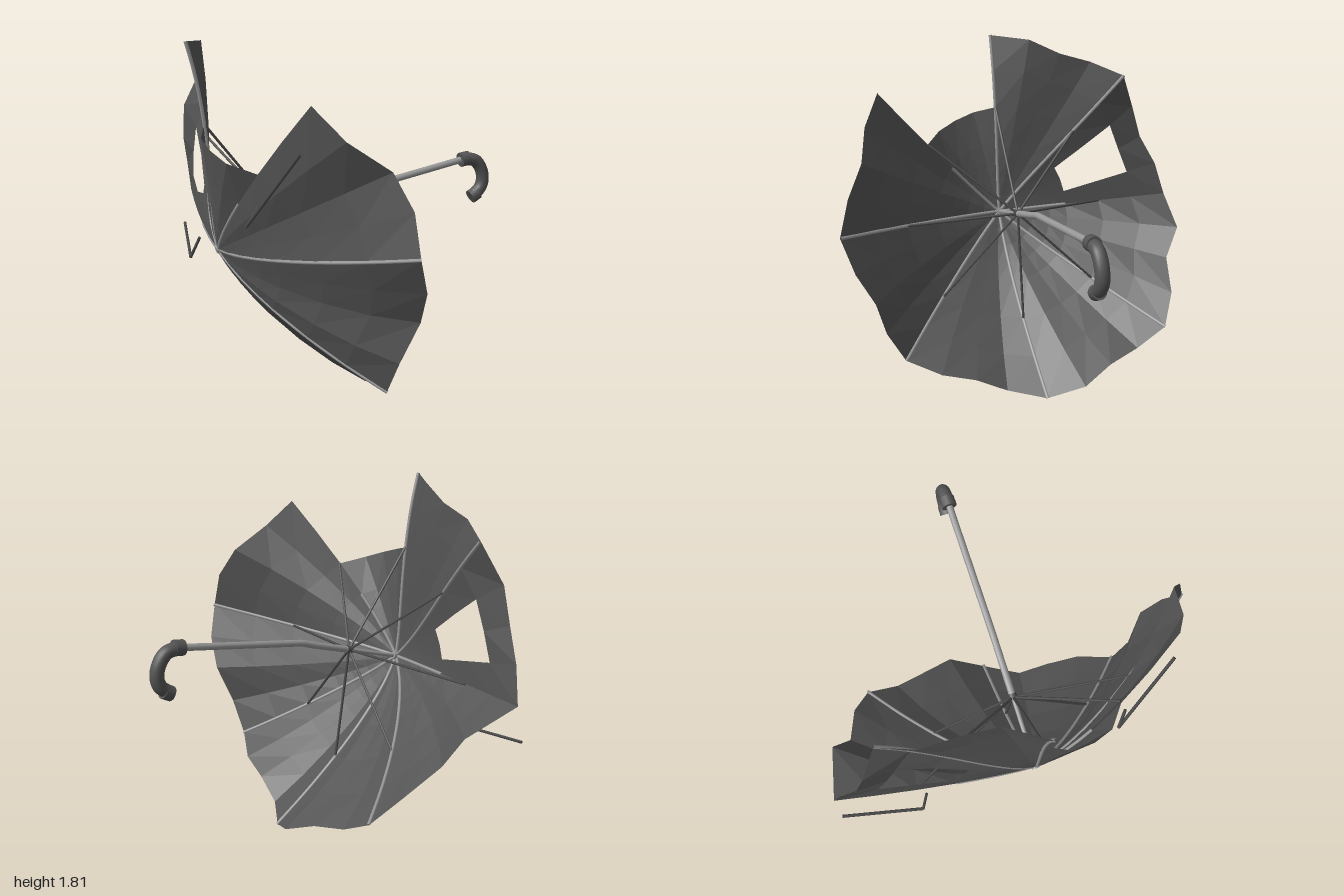
import * as THREE from 'three';

const canopyMat = new THREE.MeshStandardMaterial({ color: 0x565656, flatShading: true, side: THREE.DoubleSide });
canopyMat.name = 'dark cloth';
const steel = new THREE.MeshStandardMaterial({ color: 0x989898 });
steel.name = 'steel';
const darkMetal = new THREE.MeshStandardMaterial({ color: 0x4a4a4a });
darkMetal.name = 'dark metal';
const grip = new THREE.MeshStandardMaterial({ color: 0x545454 });
grip.name = 'grip rubber';

// Depth of the rim along the shaft, four steps per panel, starting at the top rib
const rim = [
  0.18, 0.17, 0.215, 0.288, 0.43, 0.50, 0.64, 0.65,
  0.60, 0.61, 0.58, 0.45, 0.385, 0.45, 0.463, 0.462,
  0.568, 0.67, 0.64, 0.61, 0.626, 0.55, 0.405, 0.404,
  0.155, 0.18, 0.19, 0.242, 0.37, 0.31, 0.31, 0.30,
];
// How far out each rib leaves its normal curve (higher bends nearer the tip)
const bend = [2.1, 1.5, 1.5, 1.5, 1.5, 1.5, 1.55, 2.6];
// How far out each panel starts to fold (higher folds nearer the rim)
const fold = [1.5, 1.5, 1.5, 1.5, 1.5, 2.5, 6, 1.5];
const brokenRibs = [1, 6];
const tornReach = 0.6;
const rings = [0.02, 0.1, 0.2, 0.3, 0.4, 0.6, 0.8, 1];

// Depth of a rib: the intact curve plus its bend
function ribDepth(rib, t) {
  const i = rib % 8;
  return 0.6 * t ** 1.5 + (rim[i * 4] - 0.6) * t ** bend[i];
}

// Cloth surface: x along the shaft, y and z across it; the cloth folds between ribs
function canopyPoint(panel, k, t) {
  const u = k / 4, step = panel * 4 + k;
  const reach = panel === 0 ? tornReach : 1;
  const depth = THREE.MathUtils.lerp(ribDepth(panel, t), ribDepth(panel + 1, t), u);
  const straight = THREE.MathUtils.lerp(ribDepth(panel, 1), ribDepth(panel + 1, 1), u);
  const folded = (rim[step % 32] - straight) * (t / reach) ** fold[panel];
  const r = t * (1 - 0.07 * Math.sin(Math.PI * u) ** 2 * t ** 3);
  const angle = (step / 32) * Math.PI * 2;
  return new THREE.Vector3(depth + folded, r * Math.cos(angle), r * Math.sin(angle));
}

function add(parent, name, geometry, material) {
  const mesh = new THREE.Mesh(geometry, material);
  mesh.name = name;
  parent.add(mesh);
  return mesh;
}

function rod(parent, name, a, b, radius, material, sides = 8) {
  const dir = b.clone().sub(a);
  const mesh = add(parent, name, new THREE.CylinderGeometry(radius, radius, dir.length(), sides), material);
  mesh.position.copy(a).add(b).multiplyScalar(0.5);
  mesh.quaternion.setFromUnitVectors(new THREE.Vector3(0, 1, 0), dir.normalize());
}

// One cloth panel; the first is torn short and the seventh has a hole
function panelGeometry(panel) {
  const positions = [], index = [];
  const rows = panel === 0 ? rings.filter(t => t <= tornReach) : rings;
  rows.forEach(t => {
    for (let k = 0; k <= 4; k++) positions.push(...canopyPoint(panel, k, t).toArray());
  });
  for (let j = 0; j < rows.length - 1; j++) {
    for (let k = 0; k < 4; k++) {
      const hole = panel === 6 && (k === 1 || k === 2) && rows[j] >= 0.4 && rows[j + 1] <= 0.8;
      if (hole) continue;
      const a = j * 5 + k, b = a + 1, c = a + 5, d = a + 6;
      index.push(a, c, b, b, c, d);
    }
  }
  const g = new THREE.BufferGeometry();
  g.setAttribute('position', new THREE.Float32BufferAttribute(positions, 3));
  g.setIndex(index);
  g.computeVertexNormals();
  return g;
}

export function createModel() {
  const model = new THREE.Group();
  model.name = 'brokenUmbrella';
  const V = (x, y, z) => new THREE.Vector3(x, y, z);

  // Tilted frame at the crown
  const top = new THREE.Group();
  top.name = 'canopyFrame';
  top.position.set(-0.72, 0.8, 0);
  top.rotation.z = 0.291;
  model.add(top);

  const runner = V(0.366, 0, 0);
  for (let i = 0; i < 8; i++) {
    add(top, 'canopyPanel', panelGeometry(i), canopyMat);

    // Rib, snapped off early where it is broken
    const reach = brokenRibs.includes(i) ? 0.4 : 1;
    const path = [];
    for (let k = 0; k <= 8; k++) {
      path.push(canopyPoint(i, 0, Math.max(0.01, (reach * k) / 8)).add(V(0.004, 0, 0)));
    }
    add(top, 'rib', new THREE.TubeGeometry(new THREE.CatmullRomCurve3(path), 16, 0.009, 6), steel);

    // Stay from the runner to the rib
    rod(top, 'stay', runner, canopyPoint(i, 0, 0.6).add(V(0.008, 0, 0)), 0.007, darkMetal, 6);
  }

  // Crown, thin upper shaft, runner and main shaft
  rod(top, 'crown', V(-0.008, 0, 0), V(0.03, 0, 0), 0.02, steel, 12);
  rod(top, 'upperShaft', V(0, 0, 0), V(0.37, 0, 0), 0.011, steel, 12);
  rod(top, 'runner', V(0.35, 0, 0), V(0.385, 0, 0), 0.021, darkMetal, 12);
  const bentPath = new THREE.CurvePath();
  const shaftPoints = [V(-0.37, 0.905, 0), V(-0.14, 0.973, 0), V(-0.05, 1.003, 0), V(0.68, 1.12, 0)];
  for (let i = 0; i < 3; i++) bentPath.add(new THREE.LineCurve3(shaftPoints[i], shaftPoints[i + 1]));
  add(model, 'shaft', new THREE.TubeGeometry(bentPath, 40, 0.018, 12), steel);

  // Hooked handle with a collar at each end
  const hook = new THREE.CatmullRomCurve3([
    V(0.665, 1.118, 0), V(0.74, 1.105, 0), V(0.783, 1.05, 0),
    V(0.794, 0.99, 0), V(0.778, 0.945, 0), V(0.745, 0.917, 0),
  ]);
  add(model, 'handle', new THREE.TubeGeometry(hook, 24, 0.035, 14), grip);
  rod(model, 'handleCollar', V(0.648, 1.115, 0), V(0.70, 1.122, 0), 0.039, grip, 14);
  rod(model, 'handleEnd', V(0.765, 0.923, 0), V(0.722, 0.900, 0), 0.038, grip, 14);

  // Snapped rib ends hanging behind the cloth
  const snapped = [
    [V(-0.56, 1.40, 0.70), V(-0.71, 1.03, 0.42), V(-0.66, 1.13, 0.46)],
    [V(-0.62, 0.65, -1.0), V(-0.70, 0.57, -0.6), V(-0.655, 0.69, -0.56)],
  ];
  snapped.forEach(([tip, elbow, stub]) => {
    rod(model, 'snappedRib', elbow, tip, 0.008, darkMetal, 6);
    rod(model, 'snappedStub', elbow, stub, 0.008, darkMetal, 6);
  });

  return model;
}
